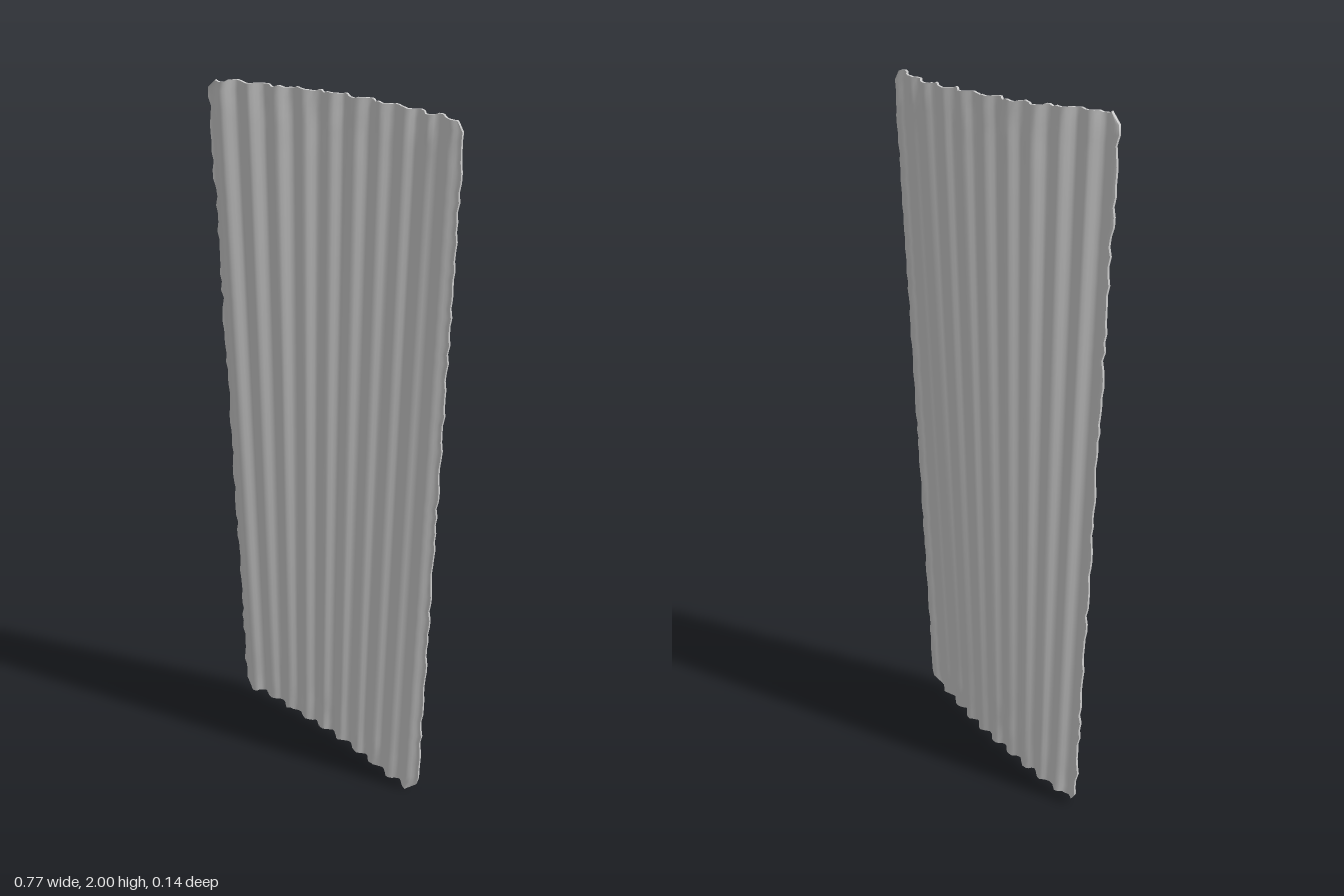
import * as THREE from 'three';

const HALF = 0.37, PITCH = 0.0725, THICK = 0.007;

// Bow of the sheet across its width, at the bottom and top edges
const bow = (zs) => new THREE.SplineCurve(zs.map((z, i) => new THREE.Vector2(i, z)));
const bottomBow = bow([-0.064, -0.064, -0.051, -0.035, -0.012, 0.017, 0.042]);
const topBow = bow([0.06, 0.025, -0.016, -0.037, -0.046, -0.04, -0.012]);

// Repeatable noise in -1..1
const noise = (n) => {
  const s = Math.sin(n * 127.1 + 11.7) * 43758.5453;
  return (s - Math.floor(s)) * 2 - 1;
};

// How far a rounded corner of radius r pulls in at distance d from the end
const cornerInset = (d, r) => (d >= r ? 0 : r - Math.sqrt(r * r - (r - d) ** 2));

function createSheet() {
  const geo = new THREE.BoxGeometry(2 * HALF, 2, THICK, 100, 80, 1);
  const pos = geo.attributes.position;
  for (let i = 0; i < pos.count; i++) {
    const t = THREE.MathUtils.clamp(pos.getX(i) / HALF, -1, 1);
    const v = THREE.MathUtils.clamp((pos.getY(i) + 1) / 2, 0, 1);
    const side = Math.sign(t);
    const row = Math.round(v * 80), col = Math.round((t + 1) * 50);

    // Worn side edges and rounded corners
    const rTop = side < 0 ? 0.035 : 0.012, rBottom = side < 0 ? 0.015 : 0.035;
    const inset = cornerInset((1 - v) * 2, rTop) + cornerInset(v * 2, rBottom)
      + 0.004 * (1 + noise(row + side * 200));
    const u = t * HALF - side * inset * Math.abs(t) ** 14;

    // Corrugations on a twisted, bowed sheet, slightly dented near both ends
    const k = (u / HALF + 1) / 2;
    const end = Math.abs(2 * v - 1) ** 12;
    const wave = -0.009 * Math.cos((2 * Math.PI * (u - 0.002)) / PITCH);
    const dent = 0.002 * end * noise(Math.floor(col / 3) + Math.floor(row / 3) * 41);
    const z = THREE.MathUtils.lerp(bottomBow.getPoint(k).y, topBow.getPoint(k).y, v)
      + wave + dent + pos.getZ(i);

    // Leaning outline with a slightly uneven top and bottom
    const rag = 0.003 * noise(Math.floor(col / 2) + 500) * end;
    const y = THREE.MathUtils.lerp(0.007 - 0.006 * t, 1.992 - 0.006 * t, v) + rag;
    pos.setXYZ(i, u + 0.036 * (v - 0.5), Math.max(0, y), z);
  }
  geo.computeVertexNormals();
  return geo;
}

export function createModel() {
  const group = new THREE.Group();
  group.name = 'corrugatedPanel';
  const sheet = new THREE.Mesh(
    createSheet(),
    new THREE.MeshStandardMaterial({ color: 0xcccccc, side: THREE.DoubleSide })
  );
  sheet.name = 'corrugatedSheet';
  group.add(sheet);
  return group;
}
